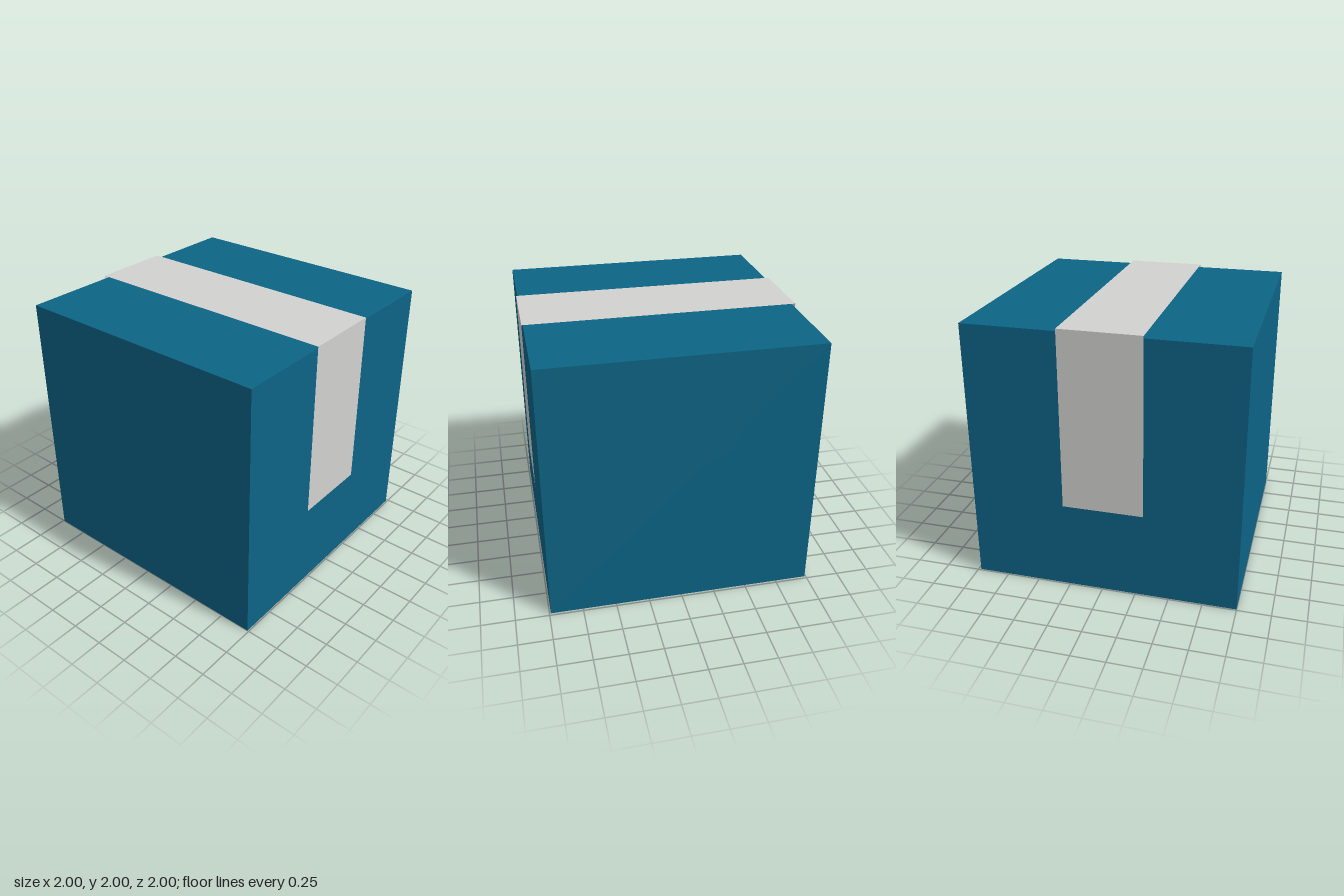
import * as THREE from 'three';

export function createModel() {
  const model = new THREE.Group();
  const blue = new THREE.MeshStandardMaterial({ name: 'blue cardboard', color: 0x0d6486, side: THREE.DoubleSide });
  const grey = new THREE.MeshStandardMaterial({ name: 'grey tape', color: 0xd2d2d0, side: THREE.DoubleSide });

  const add = (name, geometry, material, x, y, z) => {
    const mesh = new THREE.Mesh(geometry, material);
    mesh.name = name;
    mesh.position.set(x, y, z);
    model.add(mesh);
    return mesh;
  };

  // Closed carton
  const size = 1.98, centreX = -0.01;
  add('carton', new THREE.BoxGeometry(size, size, size), blue, centreX, size / 2, 0);

  // Tape sheets over the top and down the front and back, just clear of the carton
  const tapeWidth = 0.595, tapeX = -0.012, tapeBottom = 0.667;
  const drop = 2 - tapeBottom;
  add('tapeTop', new THREE.PlaneGeometry(tapeWidth, 2).rotateX(-Math.PI / 2), grey, tapeX, 2, 0);
  add('tapeFront', new THREE.PlaneGeometry(tapeWidth, drop), grey, tapeX, 2 - drop / 2, 1);
  add('tapeBack', new THREE.PlaneGeometry(tapeWidth, drop).rotateY(Math.PI), grey, tapeX, 2 - drop / 2, -1);

  // Rounded hand-hold panel on the left side
  const r = 0.2, half = 0.195;
  const outline = new THREE.Shape();
  outline.absarc(half, 0, r, -Math.PI / 2, Math.PI / 2, false);
  outline.absarc(-half, 0, r, Math.PI / 2, Math.PI * 1.5, false);
  add('handHold', new THREE.ShapeGeometry(outline, 8).rotateY(Math.PI / 2), blue, 1, 1.39, 0);

  return model;
}
